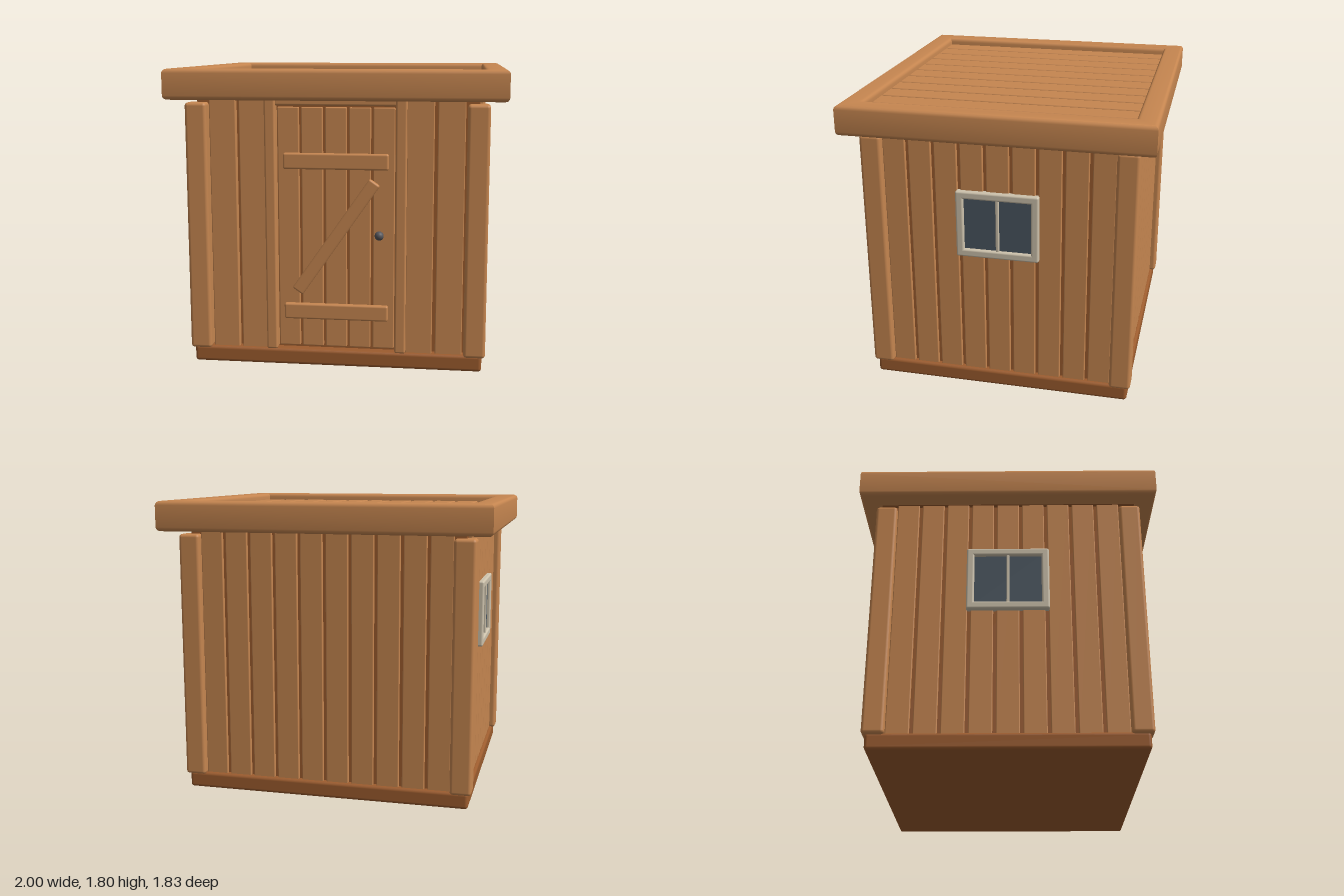
import * as THREE from 'three';
import { RoundedBoxGeometry } from 'three/addons/geometries/RoundedBoxGeometry.js';
import { toCreasedNormals } from 'three/addons/utils/BufferGeometryUtils.js';

const mat = (color) => new THREE.MeshStandardMaterial({ color });
const wood = mat(0xc68650);
const darkWood = mat(0x9c5c2e);
const cream = mat(0xcdc2ac);
const glass = mat(0x4a5660);
const iron = mat(0x55555a);

// Rounded box given by its extents on each axis
function box(parent, name, [x0, x1], [y0, y1], [z0, z1], material = wood, radius = 0.012) {
  const size = [x1 - x0, y1 - y0, z1 - z0];
  const r = Math.min(radius, Math.min(...size) * 0.45);
  const mesh = new THREE.Mesh(new RoundedBoxGeometry(...size, 3, r), material);
  mesh.position.set((x0 + x1) / 2, (y0 + y1) / 2, (z0 + z1) / 2);
  mesh.name = name;
  parent.add(mesh);
  return mesh;
}

// Splits a span into equal boards with a narrow gap between neighbours
function boards(from, to, count, gap, place) {
  const pitch = (to - from) / count;
  for (let i = 0; i < count; i++) {
    place([from + i * pitch + gap / 2, from + (i + 1) * pitch - gap / 2]);
  }
}

function group(parent, name) {
  const g = new THREE.Group();
  g.name = name;
  parent.add(g);
  return g;
}

function createWalls(shed) {
  const walls = group(shed, 'walls');
  const wallY = [0.09, 1.65];
  box(walls, 'wallBacking', [-0.84, 0.84], wallY, [-0.76, 0.74], darkWood, 0.005);

  // Side and back planks
  for (const s of [-1, 1]) {
    const xs = s > 0 ? [0.82, 0.86] : [-0.86, -0.82];
    boards(-0.7, 0.7, 9, 0.02, (z) => box(walls, 'sidePlank', xs, wallY, z, wood, 0.006));
  }
  boards(-0.78, 0.78, 10, 0.02, (x) => box(walls, 'backPlank', x, wallY, [-0.78, -0.74], wood, 0.006));

  // Front planks on each side of the doorway
  for (const from of [-0.77, 0.41]) {
    boards(from, from + 0.36, 2, 0.02, (x) => box(walls, 'frontPlank', x, wallY, [0.73, 0.78], wood, 0.006));
  }

  // Corner posts
  for (const x of [-0.835, 0.835]) {
    for (const z of [-0.755, 0.755]) {
      box(walls, 'cornerPost', [x - 0.065, x + 0.065], [0.09, 1.6], [z - 0.065, z + 0.065], wood, 0.02);
    }
  }
}

function createDoor(shed) {
  const door = group(shed, 'door');
  for (const x of [-0.39, 0.39]) {
    box(door, 'doorPost', [x - 0.033, x + 0.033], [0.1, 1.63], [0.72, 0.81]);
  }
  box(door, 'lintel', [-0.365, 0.365], [1.585, 1.63], [0.72, 0.79]);
  boards(-0.358, 0.358, 5, 0.015, (x) => box(door, 'doorPlank', x, [0.115, 1.575], [0.72, 0.765], wood, 0.006));

  // Z-shaped bracing
  for (const y of [0.338, 1.257]) {
    box(door, 'batten', [-0.315, 0.315], [y - 0.048, y + 0.048], [0.755, 0.795]);
  }
  const brace = box(door, 'diagonalBrace', [-0.41, 0.41], [-0.038, 0.038], [0.755, 0.795]);
  brace.position.set(0, 0.8, 0.775);
  brace.rotation.z = Math.atan2(0.67, 0.465);

  const knob = new THREE.Mesh(new THREE.SphereGeometry(0.027, 24, 16), iron);
  knob.name = 'knob';
  knob.position.set(0.265, 0.825, 0.825);
  const stem = new THREE.Mesh(new THREE.CylinderGeometry(0.012, 0.012, 0.06, 16), iron);
  stem.name = 'knobStem';
  stem.position.set(0.265, 0.825, 0.79);
  stem.rotation.x = Math.PI / 2;
  door.add(knob, stem);
}

// Window built facing +x, then turned for the other side
function createWindow(shed, name, turn) {
  const win = group(shed, name);
  const depth = [0.84, 0.89];
  box(win, 'glass', [0.84, 0.868], [0.9, 1.28], [-0.23, 0.23], glass, 0.002);
  for (const y of [[0.88, 0.928], [1.248, 1.295]]) {
    box(win, 'windowRail', depth, y, [-0.25, 0.25], cream);
  }
  for (const z of [[-0.25, -0.203], [0.203, 0.25]]) {
    box(win, 'windowStile', depth, [0.88, 1.295], z, cream);
  }
  box(win, 'mullion', [0.85, 0.883], [0.92, 1.255], [-0.01, 0.01], cream, 0.006);
  win.rotation.y = turn;
}

function rectangle(shape, w, d) {
  shape.moveTo(-w, -d);
  shape.lineTo(w, -d);
  shape.lineTo(w, d);
  shape.lineTo(-w, d);
  shape.closePath();
  return shape;
}

function createRoof(shed) {
  const roof = group(shed, 'roof');

  // Rounded rim running around the recessed roof boards
  const bevel = 0.025;
  const outline = rectangle(new THREE.Shape(), 1 - bevel, 0.915 - bevel);
  outline.holes.push(rectangle(new THREE.Path(), 0.865 + bevel, 0.785 + bevel));
  const rimGeometry = new THREE.ExtrudeGeometry(outline, {
    depth: 0.18 - 2 * bevel, bevelEnabled: true, bevelSize: bevel, bevelThickness: bevel, bevelSegments: 4,
  });
  rimGeometry.rotateX(-Math.PI / 2);
  const rim = new THREE.Mesh(toCreasedNormals(rimGeometry, 0.7), wood);
  rim.name = 'roofRim';
  rim.position.y = 1.62 + bevel;
  roof.add(rim);

  box(roof, 'roofDeck', [-0.9, 0.9], [1.63, 1.72], [-0.82, 0.82], darkWood, 0.005);
  boards(-0.9, 0.9, 11, 0.02, (x) => box(roof, 'roofBoard', x, [1.7, 1.755], [-0.81, 0.81], wood, 0.01));
}

export function createModel() {
  const shed = new THREE.Group();
  shed.name = 'gardenShed';
  box(shed, 'base', [-0.88, 0.88], [0, 0.1], [-0.8, 0.8], darkWood, 0.02);
  createWalls(shed);
  createDoor(shed);
  createWindow(shed, 'leftWindow', 0);
  createWindow(shed, 'rightWindow', Math.PI);
  createRoof(shed);
  return shed;
}
